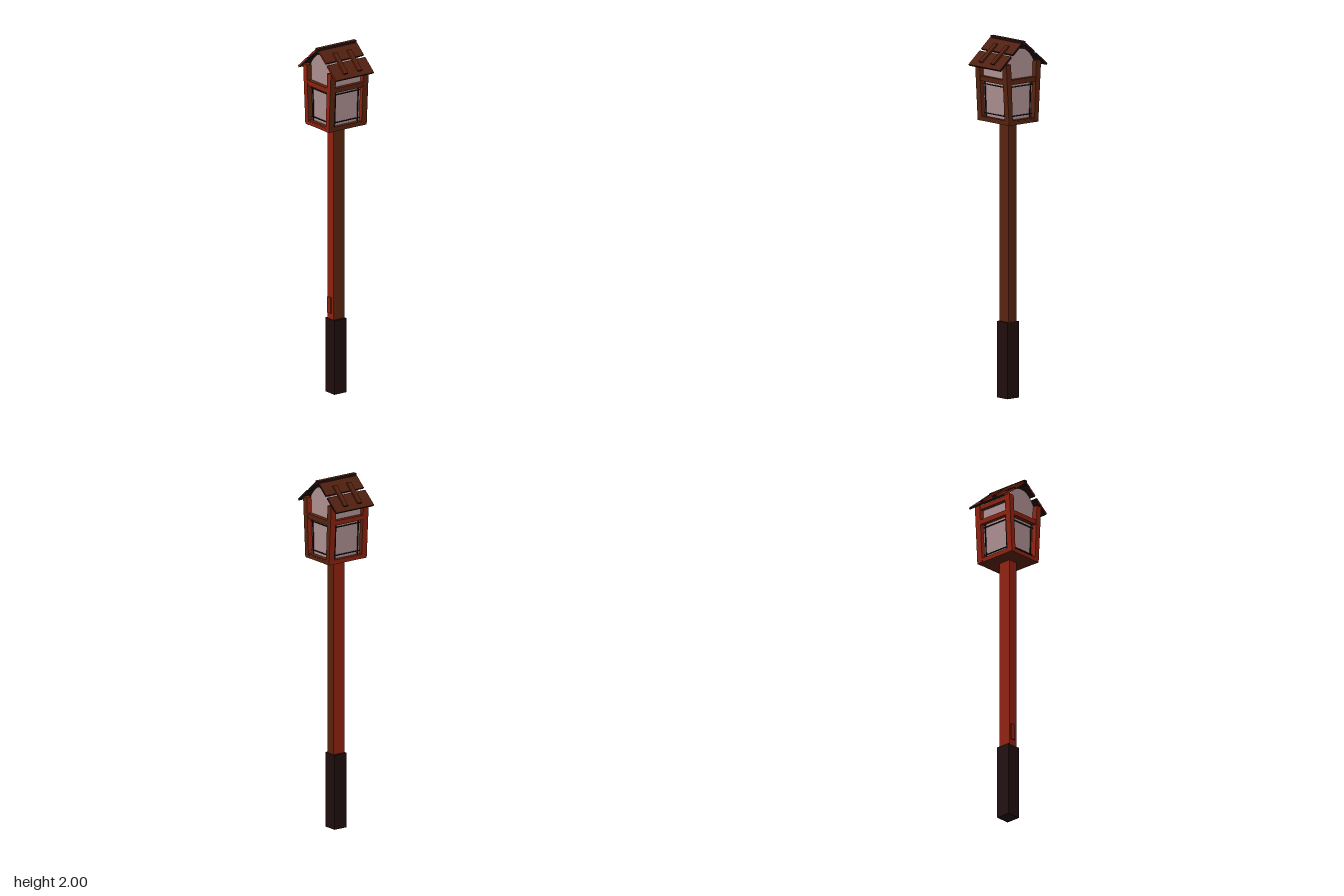
import * as THREE from 'three';

const mat = (name, color) => {
  const m = new THREE.MeshStandardMaterial({ color });
  m.name = name;
  return m;
};

export function createModel() {
  const red = mat('redWood', 0x92220f);
  const brown = mat('brownWood', 0x5a2410);
  const roofBrown = mat('roofWood', 0x501f0e);
  const dark = mat('darkWood', 0x200e0d);
  const iron = mat('blackIron', 0x140d10);
  const glass = mat('paleGlass', 0xb09294);

  // Face order: +x, -x, +y, -y, +z, -z
  const wood = [brown, red, brown, brown, red, brown];
  const plankWood = [dark, dark, roofBrown, dark, red, dark];
  const cleatWood = [dark, dark, roofBrown, dark, red, roofBrown];

  const model = new THREE.Group();
  model.name = 'lampPost';

  // Box given by its lower y, upper y, and centre in x and z
  const block = (parent, name, material, w, y0, y1, d, x = 0, z = 0, taper = false) => {
    const geo = new THREE.BoxGeometry(w, y1 - y0, d);
    geo.translate(x, (y0 + y1) / 2, z);
    if (taper) { // lantern cage widens upward in x
      const p = geo.attributes.position;
      for (let i = 0; i < p.count; i++) {
        p.setX(i, p.getX(i) * (0.107 + (p.getY(i) - 1.54) * 0.059) / 0.127);
      }
      geo.computeVertexNormals();
    }
    const mesh = new THREE.Mesh(geo, material);
    mesh.name = name;
    parent.add(mesh);
    return mesh;
  };

  // Foot, post and small front plate
  block(model, 'foot', dark, 0.084, 0, 0.425, 0.084);
  block(model, 'post', wood, 0.056, 0.425, 1.55, 0.075);
  block(model, 'postPlate', wood, 0.03, 0.46, 0.55, 0.008, -0.005, 0.041);

  // Lantern cage
  const cage = new THREE.Group();
  cage.name = 'lanternCage';
  model.add(cage);
  block(cage, 'floor', wood, 0.25, 1.54, 1.558, 0.256, 0, 0, true);
  for (const s of [-1, 1]) {
    for (const t of [-1, 1]) {
      block(cage, 'cornerPost', wood, 0.034, 1.54, 1.88, 0.036, s * 0.11, t * 0.112, true);
    }
    block(cage, 'endRail', wood, 0.2, 1.765, 1.792, 0.026, 0, s * 0.114, true);
    block(cage, 'endSill', wood, 0.2, 1.54, 1.565, 0.026, 0, s * 0.114, true);
    block(cage, 'sideRail', wood, 0.026, 1.765, 1.792, 0.2, s * 0.112, 0, true);
    block(cage, 'sideSill', wood, 0.026, 1.54, 1.565, 0.2, s * 0.112, 0, true);
    block(cage, 'topSideRail', wood, 0.022, 1.852, 1.876, 0.2, s * 0.112, 0, true);

    // Thin iron lattice in each window
    for (const y of [1.582, 1.745]) {
      block(cage, 'endLatticeBar', iron, 0.19, y, y + 0.005, 0.006, 0, s * 0.104, true);
      block(cage, 'sideLatticeBar', iron, 0.006, y, y + 0.005, 0.18, s * 0.106, 0, true);
    }
    for (const u of [-0.078, 0.078]) {
      block(cage, 'endLatticeUpright', iron, 0.005, 1.56, 1.77, 0.006, u, s * 0.104, true);
      block(cage, 'sideLatticeUpright', iron, 0.006, 1.56, 1.77, 0.005, s * 0.106, u, true);
    }
  }

  // Glass body with an arched top
  const arch = new THREE.Shape();
  arch.moveTo(-0.084, 1.555);
  arch.lineTo(0.084, 1.555);
  arch.lineTo(0.097, 1.78);
  arch.lineTo(0.097, 1.885);
  arch.quadraticCurveTo(0.075, 1.925, 0.035, 1.95);
  arch.quadraticCurveTo(0, 1.96, -0.035, 1.95);
  arch.quadraticCurveTo(-0.075, 1.925, -0.097, 1.885);
  arch.lineTo(-0.097, 1.78);
  const glassGeo = new THREE.ExtrudeGeometry(arch, { depth: 0.2, bevelEnabled: false, curveSegments: 5 });
  glassGeo.translate(0, 0, -0.1);
  const glassBody = new THREE.Mesh(glassGeo, glass);
  glassBody.name = 'glassBody';
  model.add(glassBody);

  // Roof: two planks and two cleats on each slope, plus a ridge beam
  const roof = new THREE.Group();
  roof.name = 'roof';
  model.add(roof);
  const angle = Math.atan(0.84);
  const sloped = (name, material, side, x0, x1, lift, thick, depth, z, twist = 0) => {
    const geo = new THREE.BoxGeometry((x1 - x0) / Math.cos(angle), thick, depth);
    const mesh = new THREE.Mesh(geo, material);
    const x = (x0 + x1) / 2;
    mesh.position.set(
      side * (x + lift * Math.sin(angle)),
      1.988 - 0.84 * (x - 0.01) + lift * Math.cos(angle), z);
    mesh.rotation.set(0, twist, -side * angle, 'ZYX');
    mesh.name = name;
    roof.add(mesh);
  };
  for (const s of [-1, 1]) {
    sloped('upperPlank', plankWood, s, 0.014, 0.079, 0, 0.011, 0.26, 0);
    sloped('lowerPlank', plankWood, s, 0.09, 0.171, 0, 0.011, 0.26, 0);
    for (const z of [-0.049, 0.047]) {
      sloped('cleat', cleatWood, s, 0.042, 0.15, 0.01, 0.01, 0.028, z, -0.04);
    }
  }
  block(roof, 'ridgeBeam', [dark, dark, brown, dark, dark, dark], 0.022, 1.974, 2, 0.266);

  return model;
}
